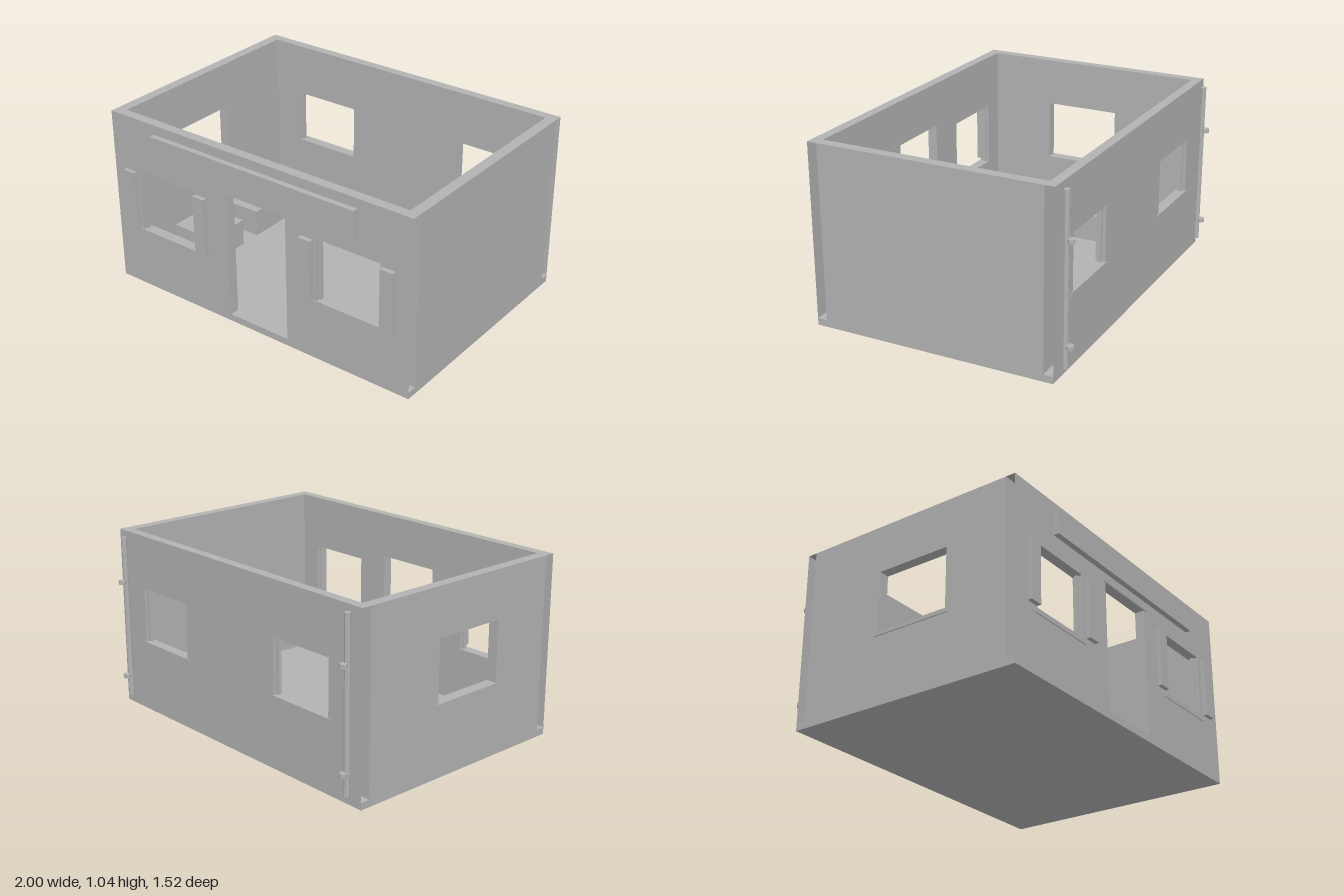
import * as THREE from 'three';

export function createModel() {
  const model = new THREE.Group();
  model.name = 'shopBuilding';
  const plaster = new THREE.MeshStandardMaterial({ color: 0xb2b2b2, side: THREE.DoubleSide });
  plaster.name = 'grey plaster';

  const LEFT = -0.99, RIGHT = 1.0, FRONT = 0.717, BACK = -0.685;
  const IN_FRONT = 0.66, IN_BACK = -0.63, FLOOR = 0.04, TOP = 1.04;

  function add(name, geometry, parent = model) {
    const mesh = new THREE.Mesh(geometry, plaster);
    mesh.name = name;
    parent.add(mesh);
    return mesh;
  }

  // Box from its low and high limits on each axis
  function box(name, x0, x1, y0, y1, z0, z1, parent) {
    const g = new THREE.BoxGeometry(x1 - x0, y1 - y0, z1 - z0);
    g.translate((x0 + x1) / 2, (y0 + y1) / 2, (z0 + z1) / 2);
    return add(name, g, parent);
  }

  // Upright rectangle with rectangular openings [a0, a1, y0, y1]
  function wallShape(a0, a1, openings) {
    const rect = (path, u0, u1, v0, v1) =>
      path.moveTo(u0, v0).lineTo(u1, v0).lineTo(u1, v1).lineTo(u0, v1).closePath();
    const shape = rect(new THREE.Shape(), a0, a1, FLOOR, TOP);
    for (const o of openings) shape.holes.push(rect(new THREE.Path(), ...o));
    return shape;
  }

  // Hollow wall: two pierced sheets, a top strip and reveals, open at both ends
  function hollowWall(name, z0, z1, openings) {
    const wall = new THREE.Group();
    wall.name = name;
    model.add(wall);
    for (const z of [z0, z1]) {
      add('wallSheet', new THREE.ShapeGeometry(wallShape(LEFT, RIGHT, openings)), wall).position.z = z;
    }
    const top = new THREE.PlaneGeometry(RIGHT - LEFT, z1 - z0).rotateX(-Math.PI / 2);
    add('wallTop', top, wall).position.set((LEFT + RIGHT) / 2, TOP, (z0 + z1) / 2);
    for (const [x0, x1, y0, y1] of openings) {
      const g = new THREE.BoxGeometry(x1 - x0, y1 - y0, z1 - z0);
      g.clearGroups();
      g.setIndex(Array.from(g.index.array).slice(0, 24)); // the four sides only
      add('openingReveal', g, wall).position.set((x0 + x1) / 2, (y0 + y1) / 2, (z0 + z1) / 2);
    }
  }

  // Solid side wall standing between the hollow walls
  function sideWall(name, xMax, openings) {
    const g = new THREE.ExtrudeGeometry(wallShape(IN_BACK, IN_FRONT, openings), { depth: 0.06, bevelEnabled: false });
    add(name, g.rotateY(-Math.PI / 2)).position.x = xMax;
  }

  // Floor and walls
  const frontWindows = [[-0.805, -0.405, 0.36, 0.728], [0.42, 0.815, 0.36, 0.728]];
  const backWindows = [[-0.753, -0.337, 0.415, 0.733], [0.397, 0.788, 0.415, 0.733]];
  const sideWindow = [-0.15, 0.29, 0.415, 0.765];
  const door = [-0.175, 0.22, FLOOR + 0.001, 0.785];
  box('floor', LEFT, RIGHT, 0, FLOOR, BACK, FRONT);
  hollowWall('frontWall', IN_FRONT, FRONT, [...frontWindows, door]);
  hollowWall('backWall', BACK, IN_BACK, backWindows);
  sideWall('rightHandWall', LEFT + 0.06, [sideWindow]);
  sideWall('leftHandWall', RIGHT, []);

  // Slim jamb strips and sills at the windows
  for (const [x0, x1, y0, y1] of frontWindows) {
    box('windowJamb', x0, x0 + 0.01, y0, y1, 0.675, 0.695);
    box('windowJamb', x1 - 0.012, x1, y0, y1, 0.675, 0.695);
    box('windowSill', x0 - 0.022, x1 + 0.02, 0.332, 0.36, FRONT - 0.002, FRONT + 0.005);
  }
  for (const [x0, x1, y0, y1] of backWindows) {
    box('windowJamb', x0, x0 + 0.015, y0, y1, -0.665, -0.645);
    box('windowJamb', x1 - 0.015, x1, y0, y1, -0.665, -0.645);
    box('windowSill', x0 - 0.02, x1 + 0.02, 0.392, 0.415, BACK - 0.005, BACK + 0.002);
  }
  box('sideWindowSill', LEFT - 0.006, LEFT + 0.002, 0.392, 0.415, -0.17, 0.31);

  // Shutters, door lintel and blank sign board
  for (const x of [-0.9, -0.388, 0.325, 0.833]) {
    box('shutter', x, x + 0.078, 0.365, 0.72, 0.725, 0.75);
  }
  box('doorLintel', -0.2, 0.245, 0.787, 0.835, FRONT - 0.002, FRONT + 0.005);
  box('signBoard', -0.67, 0.68, 0.835, 0.99, 0.725, 0.757);

  // Low crates inside
  for (const z of [-0.31, 0.095]) box('crate', -0.9, -0.62, FLOOR, 0.2, z, z + 0.28);

  // Drainpipes with collars at the back corners
  for (const x of [-0.917, 0.925]) {
    const drain = new THREE.Group();
    drain.name = 'drainpipe';
    model.add(drain);
    const pipe = new THREE.CylinderGeometry(0.017, 0.017, 0.95, 8).toNonIndexed();
    pipe.computeVertexNormals();
    add('pipe', pipe, drain).position.set(x, 0.535, -0.712);
    for (const y of [0.182, 0.749]) {
      const collar = new THREE.CylinderGeometry(0.022, 0.022, 0.022, 8).toNonIndexed();
      collar.computeVertexNormals();
      add('pipeCollar', collar, drain).position.set(x, y, -0.737);
    }
  }
  return model;
}
